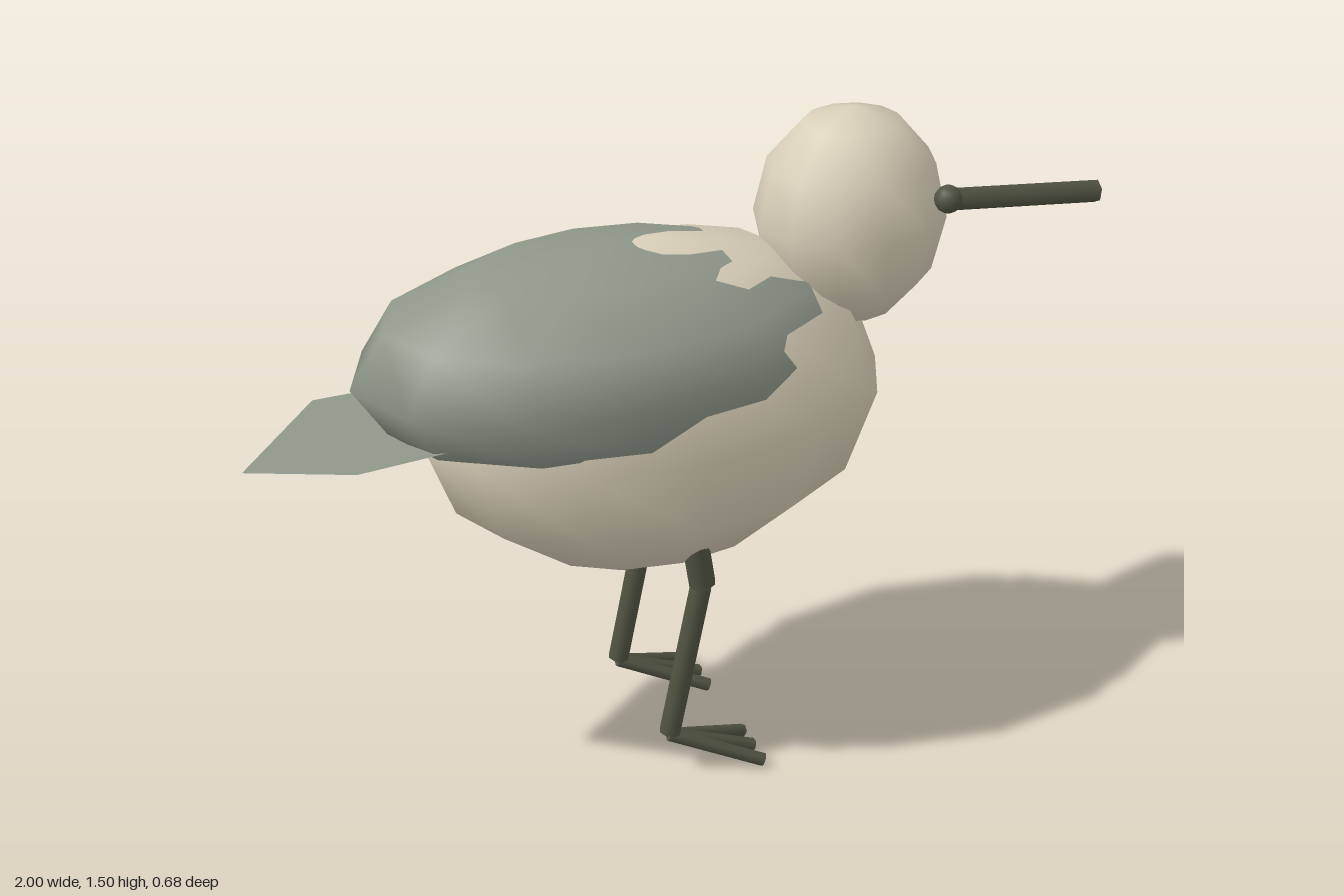
import * as THREE from 'three';

const cream = new THREE.MeshStandardMaterial({ color: 0xd8cfb8 });
const grey = new THREE.MeshStandardMaterial({ color: 0x8f978a });
const tailGrey = new THREE.MeshStandardMaterial({ color: 0x8f978a, side: THREE.DoubleSide });
const dark = new THREE.MeshStandardMaterial({ color: 0x505340 });

function add(parent, name, geometry, material) {
  const mesh = new THREE.Mesh(geometry, material);
  mesh.name = name;
  parent.add(mesh);
  return mesh;
}

// Low-sided ellipsoid with its poles along y
function ellipsoid(parent, name, centre, radii, material, sides = 12, rings = 6) {
  const mesh = add(parent, name, new THREE.SphereGeometry(1, sides, rings), material);
  mesh.position.set(...centre);
  mesh.scale.set(...radii);
  return mesh;
}

// Straight rod between two points
function rod(parent, name, from, to, radius, sides = 6) {
  const a = new THREE.Vector3(...from);
  const b = new THREE.Vector3(...to);
  const mesh = add(parent, name, new THREE.CylinderGeometry(radius, radius, a.distanceTo(b), sides), dark);
  mesh.position.copy(a).lerp(b, 0.5);
  mesh.quaternion.setFromUnitVectors(new THREE.Vector3(0, 1, 0), b.sub(a).normalize());
  return mesh;
}

// Thin tail sheet, folded along its middle and pointed at the tip
function tailGeometry() {
  const geometry = new THREE.BufferGeometry();
  geometry.setAttribute('position', new THREE.Float32BufferAttribute([
    -1, 0.89, 0,
    -0.8, 0.935, 0.175,
    -0.45, 0.945, 0.16,
    -0.45, 0.915, 0,
    -0.45, 0.945, -0.16,
    -0.8, 0.935, -0.175,
  ], 3));
  geometry.setIndex([0, 1, 3, 1, 2, 3, 0, 3, 5, 3, 4, 5]);
  geometry.computeVertexNormals();
  return geometry;
}

export function createModel() {
  const bird = new THREE.Group();
  bird.name = 'bird';

  // Body, folded wings and head
  ellipsoid(bird, 'body', [-0.08, 0.885, 0], [0.535, 0.385, 0.325], cream);
  ellipsoid(bird, 'foldedWings', [-0.2, 1.035, 0], [0.56, 0.235, 0.34], grey);
  ellipsoid(bird, 'head', [0.38, 1.25, 0], [0.215, 0.25, 0.2], cream);
  add(bird, 'tail', tailGeometry(), tailGrey);

  // Beak
  rod(bird, 'beak', [0.5, 1.254, 0], [0.998, 1.2, 0], 0.027).rotateY(Math.PI / 6);

  // Eyes and legs on both sides
  for (const side of [1, -1]) {
    const label = side > 0 ? 'front' : 'back';
    const z = side * 0.165;
    ellipsoid(bird, label + 'Eye', [0.537, 1.32, side * 0.158], [0.031, 0.031, 0.031], dark, 12, 8);

    const leg = new THREE.Group();
    leg.name = label + 'Leg';
    bird.add(leg);
    rod(leg, 'upperLeg', [-0.05, 0.6, z], [-0.033, 0.49, z], 0.031, 8);
    rod(leg, 'lowerLeg', [-0.036, 0.485, z], [-0.112, 0.11, z], 0.025, 8);
    for (const spread of [-0.063, 0, 0.063]) {
      rod(leg, 'toe', [-0.112, 0.102, z], [0.095, 0.018, z + spread], 0.016);
    }
  }
  return bird;
}
